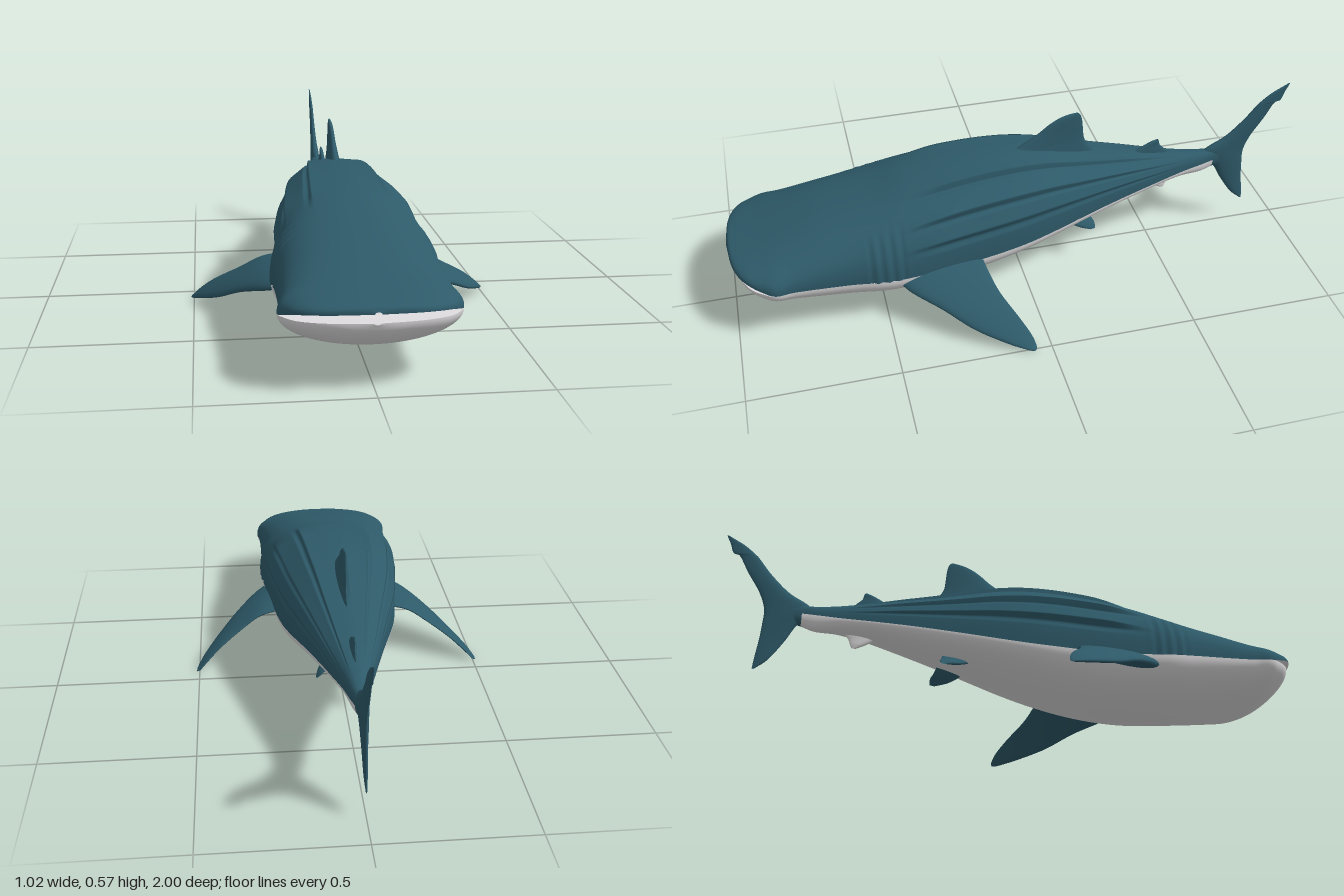
import * as THREE from 'three';
import { ParametricGeometry } from 'three/addons/geometries/ParametricGeometry.js';

const V = (x, y, z) => new THREE.Vector3(x, y, z);
const smooth = THREE.MathUtils.smoothstep;

// Body stations: z, half width, top, upper shell edge, lower shell edge, bottom
const STATIONS = [
  [1.0, 0.01, 0.25, 0.244, 0.214, 0.209],
  [0.99, 0.11, 0.262, 0.242, 0.214, 0.185],
  [0.97, 0.175, 0.268, 0.238, 0.213, 0.162],
  [0.94, 0.218, 0.276, 0.231, 0.211, 0.14],
  [0.9, 0.247, 0.287, 0.218, 0.21, 0.122],
  [0.86, 0.264, 0.299, 0.208, 0.208, 0.11],
  [0.8, 0.256, 0.317, 0.205, 0.205, 0.096],
  [0.7, 0.254, 0.346, 0.2, 0.2, 0.08],
  [0.6, 0.255, 0.37, 0.195, 0.195, 0.067],
  [0.5, 0.26, 0.395, 0.187, 0.187, 0.057],
  [0.4, 0.25, 0.425, 0.182, 0.182, 0.051],
  [0.3, 0.238, 0.446, 0.182, 0.182, 0.054],
  [0.2, 0.225, 0.459, 0.185, 0.185, 0.066],
  [0.1, 0.212, 0.465, 0.192, 0.192, 0.086],
  [0.0, 0.195, 0.463, 0.202, 0.202, 0.112],
  [-0.1, 0.172, 0.45, 0.217, 0.217, 0.14],
  [-0.2, 0.146, 0.427, 0.234, 0.234, 0.167],
  [-0.3, 0.12, 0.405, 0.25, 0.25, 0.192],
  [-0.4, 0.095, 0.385, 0.264, 0.264, 0.216],
  [-0.5, 0.07, 0.365, 0.276, 0.276, 0.238],
  [-0.6, 0.045, 0.347, 0.287, 0.287, 0.25],
  [-0.68, 0.03, 0.337, 0.295, 0.295, 0.249],
  [-0.73, 0.02, 0.337, 0.3, 0.3, 0.262],
  [-0.82, 0.006, 0.335, 0.305, 0.305, 0.285],
];
const LAST = STATIONS.length - 1, MOUTH_END = 5, WHITE_END = 22;
const spline = (pts) => new THREE.CatmullRomCurve3(pts, false, 'catmullrom', 0.5);
const curveA = spline(STATIONS.map((s) => V(s[0], s[1], s[2])));
const curveB = spline(STATIONS.map((s) => V(s[3], s[4], s[5])));

function stationAt(i) {
  const a = curveA.getPoint(i / LAST), b = curveB.getPoint(i / LAST);
  return { z: a.x, w: a.y, top: a.z, edge: b.x, lip: b.y, bottom: b.z };
}

// Superellipse quarter coordinates
const power = (v, n) => Math.sign(v) * Math.pow(Math.abs(v), 2 / n);
// Lower jaw sits slightly behind the upper one
const jawZ = (z) => z - 0.014 * smooth(z, 0.86, 1);

// Long overhanging ridges along each flank, q = 0 at the side and 1 on the back
function ridge(q, z) {
  let h = 0;
  for (const e of [0.2, 0.42, 0.715]) {
    if (q >= e) h = Math.max(0, 1 - (q - e) / 0.2) ** 2;
    else if (q > e - 0.05) h = -0.4;
  }
  return 0.055 * h * smooth(z, -0.68, -0.35) * (1 - smooth(z, 0.25, 0.45));
}

// Shallow gill grooves behind the head
function gills(q, z) {
  const zone = smooth(z, 0.41, 0.44) * (1 - smooth(z, 0.54, 0.57));
  return 0.012 * zone * (1 - smooth(q, 0.35, 0.6)) * Math.cos((z - 0.42) * 2 * Math.PI / 0.036);
}

function upperPoint(u, i, p) {
  const s = stationAt(i), t = Math.PI * (1 - u), q = Math.min(t, Math.PI - t) * 2 / Math.PI;
  const k = 1 + ridge(q, s.z) + gills(q, s.z);
  p.set(s.w * power(Math.cos(t), 2.5) * k, s.edge + (s.top - s.edge) * power(Math.max(0, Math.sin(t)), 2.5) * k, s.z);
}

function lowerPoint(u, i, p) {
  const s = stationAt(i), t = Math.PI * u;
  p.set(s.w * Math.cos(t), s.lip - (s.lip - s.bottom) * Math.sin(t), jawZ(s.z));
}

function roofPoint(u, i, p) {
  const s = stationAt(i);
  p.set(s.w * (1 - 2 * u), s.edge, s.z);
}

function floorPoint(u, i, p) {
  const s = stationAt(i);
  p.set(s.w * (2 * u - 1), s.lip, jawZ(s.z));
}

function surface(name, fn, from, to, slices, material) {
  const g = new ParametricGeometry((u, v, p) => fn(u, from + (to - from) * v, p), slices, (to - from) * 12);
  g.computeVertexNormals();
  const mesh = new THREE.Mesh(g, material);
  mesh.name = name;
  return mesh;
}

// Fin lofted from stations [leading point, trailing point, half thickness]
function fin(name, stations, material) {
  const lead = spline(stations.map((s) => s[0]));
  const trail = spline(stations.map((s) => s[1]));
  const thick = spline(stations.map((s) => V(s[2], 0, 0)));
  const g = new ParametricGeometry((u, v, p) => {
    const a = lead.getPoint(v), b = trail.getPoint(v);
    const span = lead.getTangent(v).add(trail.getTangent(v));
    const n = b.clone().sub(a).cross(span).normalize();
    const ang = 2 * Math.PI * u, c = (1 + Math.cos(ang)) / 2;
    p.copy(a).lerp(b, c).addScaledVector(n, thick.getPoint(v).x * Math.sin(ang) * (1.25 - 0.6 * c));
  }, 24, stations.length * 6);
  g.computeVertexNormals();
  const mesh = new THREE.Mesh(g, material);
  mesh.name = name;
  return mesh;
}

// Upright fin from rows [y, leading z, trailing z, half thickness]
const uprightFin = (name, rows, material) =>
  fin(name, rows.map(([y, a, b, t]) => [V(0, y, a), V(0, y, b), t]), material);

export function createModel() {
  const teal = new THREE.MeshStandardMaterial({ color: 0x2e5a69, side: THREE.DoubleSide });
  teal.name = 'deep teal skin';
  const white = new THREE.MeshStandardMaterial({ color: 0xe0dee0, side: THREE.DoubleSide });
  white.name = 'pale belly';
  const model = new THREE.Group();
  model.name = 'whaleShark';

  // Body shells and mouth
  model.add(
    surface('back', upperPoint, 0, LAST, 112, teal),
    surface('belly', lowerPoint, 0, WHITE_END, 40, white),
    surface('tailStem', lowerPoint, WHITE_END, LAST, 40, teal),
    surface('mouthRoof', roofPoint, 0, MOUTH_END, 12, white),
    surface('mouthFloor', floorPoint, 0, MOUTH_END, 12, white),
  );

  // Fins on the centre line
  model.add(
    uprightFin('dorsalFin', [
      [0.39, 0.05, -0.3, 0.026], [0.44, 0.03, -0.26, 0.023], [0.468, -0.015, -0.245, 0.018],
      [0.505, -0.075, -0.24, 0.013], [0.54, -0.12, -0.236, 0.01], [0.562, -0.16, -0.23, 0.007],
      [0.572, -0.2, -0.222, 0.003], [0.573, -0.21, -0.215, 0.001],
    ], teal),
    uprightFin('secondDorsalFin', [
      [0.345, -0.4, -0.57, 0.013], [0.372, -0.43, -0.545, 0.011], [0.39, -0.46, -0.528, 0.008],
      [0.405, -0.49, -0.524, 0.006], [0.413, -0.512, -0.52, 0.002],
    ], teal),
    uprightFin('analFin', [
      [0.26, -0.46, -0.59, 0.013], [0.235, -0.485, -0.57, 0.01],
      [0.215, -0.515, -0.562, 0.007], [0.2, -0.545, -0.555, 0.002],
    ], white),
    uprightFin('tailFin', [
      [0.092, -0.867, -0.874, 0.002], [0.13, -0.825, -0.87, 0.006], [0.2, -0.778, -0.86, 0.009],
      [0.26, -0.745, -0.855, 0.013], [0.3, -0.71, -0.853, 0.016], [0.335, -0.7, -0.86, 0.016],
      [0.38, -0.775, -0.88, 0.012], [0.44, -0.838, -0.918, 0.009], [0.498, -0.885, -0.95, 0.007],
      [0.508, -0.895, -0.973, 0.007], [0.54, -0.935, -0.985, 0.005], [0.572, -0.994, -1, 0.002],
    ], teal),
  );

  // Paired fins
  for (const [side, m] of [['left', 1], ['right', -1]]) {
    const rows = (list) => list.map(([a, b, t]) => [V(a[0] * m, a[1], a[2]), V(b[0] * m, b[1], b[2]), t]);
    model.add(
      fin(side + 'PectoralFin', rows([
        [[0.19, 0.17, 0.48], [0.18, 0.19, 0.17], 0.03],
        [[0.27, 0.142, 0.43], [0.27, 0.172, 0.16], 0.022],
        [[0.35, 0.108, 0.335], [0.34, 0.132, 0.137], 0.016],
        [[0.42, 0.063, 0.245], [0.42, 0.083, 0.092], 0.012],
        [[0.475, 0.03, 0.15], [0.47, 0.043, 0.062], 0.009],
        [[0.504, 0.011, 0.085], [0.497, 0.015, 0.052], 0.005],
        [[0.51, 0.006, 0.062], [0.508, 0.007, 0.056], 0.001],
      ]), teal),
      fin(side + 'PelvicFin', rows([
        [[0.035, 0.19, -0.13], [0.035, 0.205, -0.25], 0.012],
        [[0.06, 0.167, -0.165], [0.06, 0.172, -0.26], 0.009],
        [[0.085, 0.148, -0.205], [0.083, 0.154, -0.27], 0.007],
        [[0.1, 0.137, -0.25], [0.099, 0.139, -0.268], 0.002],
      ]), teal),
    );
  }
  return model;
}
